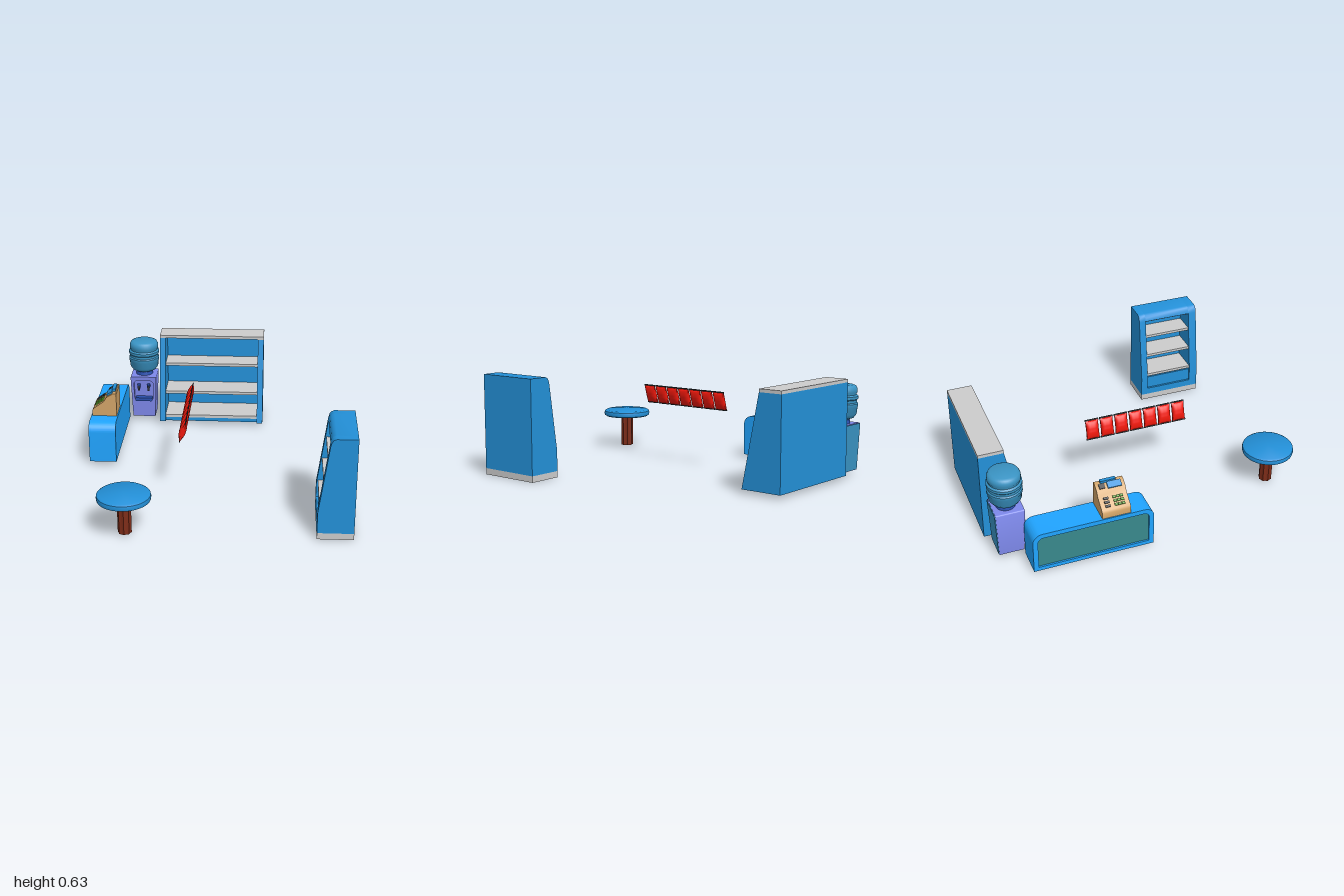
import * as THREE from 'three';
import { toCreasedNormals } from 'three/addons/utils/BufferGeometryUtils.js';

const mat = (color, side = THREE.FrontSide) => new THREE.MeshStandardMaterial({ color, side });
const M = {
  grey: mat(0xcccccc), blue: mat(0x2390d8), bright: mat(0x20a4ff), teal: mat(0x38888c),
  tan: mat(0xd2a468), brown: mat(0x7d2c18), red: mat(0xf0180c), dark: mat(0x303438),
  violet: mat(0x7d88ea), bottle: mat(0x3a94c4), navy: mat(0x2a50b0), green: mat(0x66b030),
};

function add(parent, name, geometry, material, x = 0, y = 0, z = 0) {
  const mesh = new THREE.Mesh(geometry, material);
  mesh.name = name;
  mesh.position.set(x, y, z);
  parent.add(mesh);
  return mesh;
}

// Box given by its limits on each axis
function block(parent, name, material, x0, x1, y0, y1, z0, z1) {
  return add(parent, name, new THREE.BoxGeometry(x1 - x0, y1 - y0, z1 - z0), material,
    (x0 + x1) / 2, (y0 + y1) / 2, (z0 + z1) / 2);
}

const polygon = (pts) => new THREE.Shape(pts.map(([x, y]) => new THREE.Vector2(x, y)));

// Rectangle with separate bottom and top corner radii
function rounded(x0, x1, y0, y1, rTop, rBottom = 0) {
  const s = new THREE.Shape(), q = Math.PI / 2;
  s.moveTo(x0 + rBottom, y0);
  s.lineTo(x1 - rBottom, y0);
  if (rBottom) s.absarc(x1 - rBottom, y0 + rBottom, rBottom, -q, 0);
  s.lineTo(x1, y1 - rTop);
  s.absarc(x1 - rTop, y1 - rTop, rTop, 0, q);
  s.lineTo(x0 + rTop, y1);
  s.absarc(x0 + rTop, y1 - rTop, rTop, q, 2 * q);
  s.lineTo(x0, y0 + rBottom);
  if (rBottom) s.absarc(x0 + rBottom, y0 + rBottom, rBottom, 2 * q, 3 * q);
  return s;
}

// Extrusion of an (x, y) outline along z
function slabZ(shape, z0, z1) {
  const g = new THREE.ExtrudeGeometry(shape, { depth: z1 - z0, bevelEnabled: false, curveSegments: 8 });
  return toCreasedNormals(g.translate(0, 0, z0), 0.6);
}

// Extrusion of a (z, y) outline along x
const slabX = (shape, x0, x1) => slabZ(shape, 0, x1 - x0).rotateY(-Math.PI / 2).translate(x1, 0, 0);

function makeTable() {
  const g = new THREE.Group();
  g.name = 'roundTable';
  const top = [[0, 0.22], [0.145, 0.22], [0.157, 0.227], [0.16, 0.242], [0.157, 0.256], [0.145, 0.264], [0, 0.267]]
    .map(([r, y]) => new THREE.Vector2(r, y));
  add(g, 'tableTop', toCreasedNormals(new THREE.LatheGeometry(top, 40), 0.7), M.blue);
  // Fluted leg
  const flute = [];
  for (let i = 0; i < 32; i++) {
    const a = (i / 32) * Math.PI * 2, r = 0.038 + 0.003 * Math.cos(8 * a);
    flute.push([r * Math.cos(a), r * Math.sin(a)]);
  }
  add(g, 'tableLeg', slabZ(polygon(flute), 0.01, 0.222).rotateX(-Math.PI / 2), M.brown);
  g.position.set(-0.495, 0, 0.836);
  return g;
}

function makeShelving() {
  const g = new THREE.Group();
  g.name = 'wallShelving';
  const side = polygon([[-1, 0.025], [-0.73, 0.025], [-0.845, 0.605], [-1, 0.605]]);
  for (const x of [-0.445, 0.235]) add(g, 'shelvingSide', slabX(side, x, x + 0.04), M.blue);
  block(g, 'shelvingBack', M.blue, -0.405, 0.235, 0.025, 0.605, -1, -0.975);
  block(g, 'shelvingPlinth', M.blue, -0.405, 0.235, 0.025, 0.052, -0.975, -0.75);
  block(g, 'shelvingTop', M.grey, -0.445, 0.275, 0.605, 0.625, -1, -0.845);
  for (const [y, z] of [[0.052, -0.745], [0.215, -0.785], [0.411, -0.82]])
    block(g, 'shelf', M.grey, -0.405, 0.235, y, y + 0.02, -0.975, z);
  return g;
}

function makeChiller() {
  const g = new THREE.Group();
  g.name = 'openChiller';
  // Arched crown from the sloping front to the top
  const crown = [[0.678, 0.59], [0.684, 0.613], [0.695, 0.628], [0.712, 0.635], [0.835, 0.635], [0.835, 0.04]];
  const outer = polygon([[0.62, 0.04], [0.62, 0.17], ...crown]);
  for (const [a, b] of [[0.43, 0.475], [0.79, 0.845]])
    add(g, 'chillerSide', slabZ(outer, a, b), M.blue);
  const shell = polygon([[0.62, 0.04], [0.62, 0.085], [0.81, 0.085], [0.81, 0.585], ...crown]);
  add(g, 'chillerShell', slabZ(shell, 0.475, 0.79), M.blue);
  block(g, 'chillerLip', M.blue, 0.633, 0.655, 0.085, 0.17, 0.475, 0.79);
  block(g, 'chillerBase', M.grey, 0.62, 0.835, 0, 0.04, 0.43, 0.845);
  block(g, 'chillerLining', M.grey, 0.7, 0.81, 0.575, 0.585, 0.475, 0.79);
  for (const y of [0.18, 0.325, 0.465])
    block(g, 'chillerShelf', M.grey, 0.628 + (y - 0.17) * 0.14, 0.81, y, y + 0.018, 0.475, 0.79);
  return g;
}

function makeCounter() {
  const g = new THREE.Group();
  g.name = 'counter';
  const frame = rounded(-0.81, -0.07, 0.02, 0.285, 0.06);
  add(g, 'counterBody', slabX(frame, -0.825, -0.665), M.bright);
  const rim = frame.clone();
  rim.holes = [rounded(-0.78, -0.1, 0.045, 0.255, 0.035)];
  add(g, 'counterRim', slabX(rim, -0.84, -0.825), M.bright);
  add(g, 'counterPanel', slabX(rounded(-0.78, -0.1, 0.045, 0.255, 0.035), -0.829, -0.824), M.teal);
  return g;
}

function makeRegister() {
  const g = new THREE.Group();
  g.name = 'cashRegister';
  const profile = polygon([[-0.833, 0.285], [-0.673, 0.285], [-0.673, 0.435], [-0.678, 0.44], [-0.695, 0.44],
    [-0.74, 0.413], [-0.755, 0.385], [-0.825, 0.335], [-0.833, 0.32]]);
  add(g, 'registerBody', slabZ(profile, -0.388, -0.212), M.tan);
  const pad = (name, m, x, y, z, w, d, tilt) => {
    add(g, name, new THREE.BoxGeometry(w, 0.012, d), m, x, y, z).rotation.z = tilt;
  };
  // Rows of keys on the lower slope
  for (let i = 0; i < 3; i++) {
    const x = -0.808 + i * 0.019, y = 0.35 + i * 0.0136;
    for (let j = 0; j < 3; j++) pad('greenKey', M.green, x, y, -0.25 - j * 0.022, 0.014, 0.018, 0.62);
    pad('darkKey', M.dark, x, y, -0.345, 0.013, 0.03, 0.62);
  }
  pad('registerDisplay', M.blue, -0.72, 0.43, -0.275, 0.04, 0.085, 0.54);
  pad('receiptSlot', M.dark, -0.717, 0.427, -0.35, 0.03, 0.035, 0.54);
  block(g, 'displayHood', M.blue, -0.706, -0.683, 0.44, 0.455, -0.355, -0.26);
  return g;
}

function makeWaterCooler() {
  const g = new THREE.Group();
  g.name = 'waterCooler';
  // Narrows the body towards the floor
  const taper = (geo) => {
    const p = geo.attributes.position;
    for (let i = 0; i < p.count; i++) {
      const s = 0.87 + (0.13 * (p.getY(i) - 0.03)) / 0.3;
      p.setXYZ(i, p.getX(i) * s, p.getY(i), p.getZ(i) * s);
    }
    return toCreasedNormals(geo, 0.6);
  };
  const outline = () => rounded(-0.09, 0.09, 0.03, 0.33, 0.008);
  const front = outline();
  front.holes = [rounded(-0.07, 0.07, 0.155, 0.3, 0.025, 0.02)];
  add(g, 'coolerBody', taper(slabZ(outline(), -0.085, 0.06)), M.violet);
  add(g, 'coolerFront', taper(slabZ(front, 0.06, 0.09)), M.violet);
  add(g, 'coolerBackPanel', taper(slabZ(rounded(-0.086, 0.086, 0.034, 0.326, 0.008), -0.09, -0.085)), M.bottle);
  add(g, 'dripTray', slabZ(rounded(-0.06, 0.06, 0.15, 0.175, 0.008, 0.008), 0.05, 0.095), M.navy);
  for (const x of [-0.034, 0.034]) {
    block(g, 'tapStem', M.navy, x - 0.01, x + 0.01, 0.25, 0.27, 0.055, 0.09);
    block(g, 'tapSpout', M.dark, x - 0.007, x + 0.007, 0.228, 0.262, 0.075, 0.092);
  }
  add(g, 'coolerCollar', new THREE.CylinderGeometry(0.055, 0.06, 0.03, 32), M.navy, 0, 0.338, 0);
  // Upturned bottle with moulded rings
  const pts = [[0, 0.34], [0.045, 0.34], [0.05, 0.355], [0.08, 0.366], [0.097, 0.39], [0.101, 0.43], [0.105, 0.437],
    [0.105, 0.455], [0.098, 0.462], [0.098, 0.478], [0.105, 0.485], [0.105, 0.502], [0.094, 0.511], [0.094, 0.518],
    [0.099, 0.526], [0.098, 0.55], [0.09, 0.565], [0.075, 0.572], [0, 0.572]].map(([r, y]) => new THREE.Vector2(r, y));
  add(g, 'waterBottle', toCreasedNormals(new THREE.LatheGeometry(pts, 36), 0.7), M.bottle);
  g.position.set(-0.563, 0, -0.885);
  return g;
}

function makeSnackBags() {
  const g = new THREE.Group();
  g.name = 'snackBagRow';
  // Pillow: swollen in the middle, pinched flat at the sealed ends
  const geo = new THREE.BoxGeometry(0.042, 0.12, 0.088, 1, 14, 10);
  const p = geo.attributes.position;
  for (let i = 0; i < p.count; i++) {
    const v = p.getY(i) / 0.06, u = p.getZ(i) / 0.044, belly = Math.max(0, 1 - v * v);
    p.setX(i, p.getX(i) * (0.06 + 0.94 * Math.pow(belly, 0.7) * (1 - 0.65 * u ** 4)));
    p.setZ(i, p.getZ(i) * (1 - 0.13 * Math.sqrt(belly)));
  }
  const pillow = toCreasedNormals(geo, 0.9);
  for (let i = 0; i < 7; i++) {
    const bag = new THREE.Group();
    bag.name = 'snackBag';
    add(bag, 'bagPillow', pillow, M.red);
    for (const y of [-0.06, 0.06])
      add(bag, 'bagSeal', new THREE.BoxGeometry(0.006, 0.01, 0.088), M.dark, 0, y, 0);
    bag.position.set(-0.19, 0.448, 0.348 - i * 0.0945);
    bag.rotation.z = -0.3;
    g.add(bag);
  }
  return g;
}

export function createModel() {
  const model = new THREE.Group();
  model.name = 'shopInterior';
  model.add(makeTable(), makeShelving(), makeChiller(), makeCounter(), makeRegister(), makeWaterCooler(), makeSnackBags());
  return model;
}
